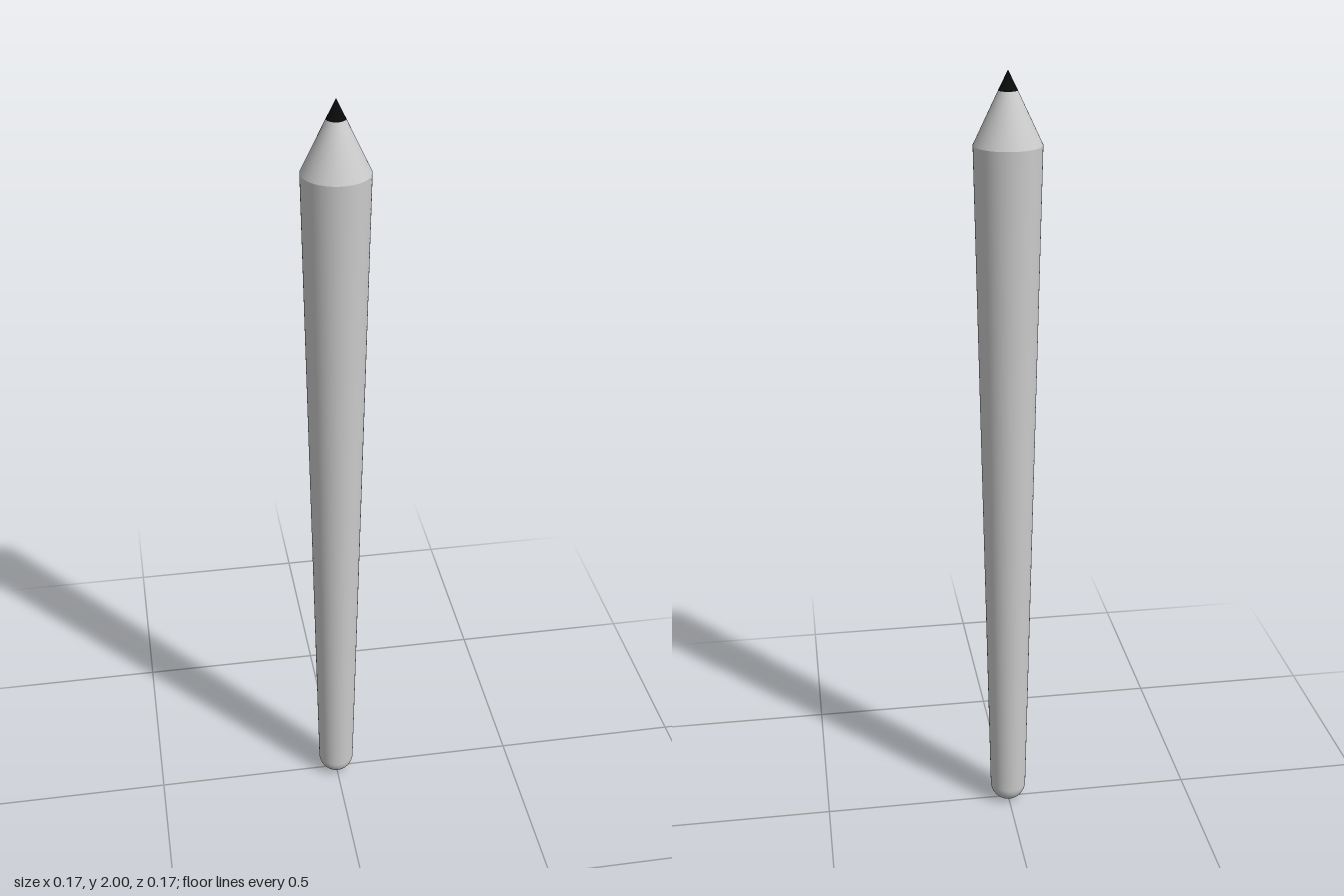
import * as THREE from 'three';

const SEGMENTS = 64;

export function createModel() {
  const group = new THREE.Group();
  const grey = new THREE.MeshStandardMaterial({ color: 0xcccccc });
  const black = new THREE.MeshStandardMaterial({ color: 0x0a0a0a });

  const add = (name, geometry, y, material = grey) => {
    const mesh = new THREE.Mesh(geometry, material);
    mesh.name = name;
    mesh.position.y = y;
    group.add(mesh);
  };

  const endRadius = 0.048, shoulderRadius = 0.083, tipRadius = 0.023;
  const shoulderY = 1.827, tipY = 1.953, topY = 2;

  // Tapered barrel with a rounded lower end, as one smooth profile
  const profile = [];
  for (let i = 0; i <= 12; i++) {
    const a = (i / 12) * Math.PI / 2;
    profile.push(new THREE.Vector2(endRadius * Math.sin(a), endRadius * (1 - Math.cos(a))));
  }
  profile.push(new THREE.Vector2(shoulderRadius, shoulderY));
  add('barrel', new THREE.LatheGeometry(profile, SEGMENTS), 0);

  // Conical nose
  const noseHeight = tipY - shoulderY;
  add('nose', new THREE.CylinderGeometry(tipRadius, shoulderRadius, noseHeight, SEGMENTS, 1, true), shoulderY + noseHeight / 2);

  // Dark writing tip
  const tipHeight = topY - tipY;
  add('tip', new THREE.ConeGeometry(tipRadius, tipHeight, SEGMENTS, 1, true), tipY + tipHeight / 2, black);

  return group;
}
